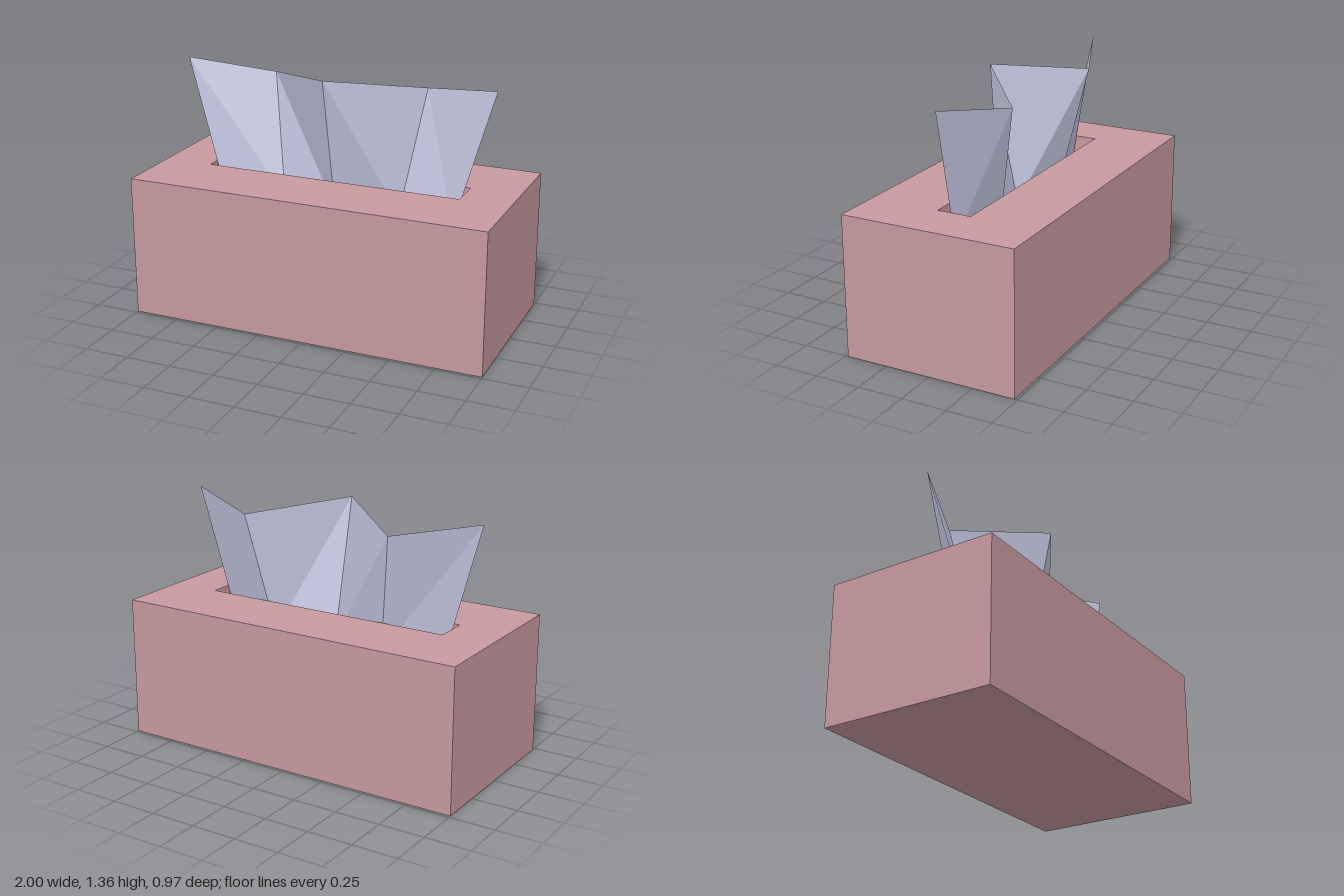
import * as THREE from 'three';

const cardboard = new THREE.MeshStandardMaterial({ color: 0xc6999f, side: THREE.DoubleSide });
cardboard.name = 'dusty pink cardboard';
const paper = new THREE.MeshStandardMaterial({ color: 0xc1c3dd, side: THREE.DoubleSide });
paper.name = 'pale lavender paper';

// Box without its top face, spanning y0..y1
function openBox(w, d, y0, y1) {
  const geo = new THREE.BoxGeometry(w, y1 - y0, d);
  const index = Array.from(geo.index.array);
  index.splice(12, 6); // the +y side
  geo.setIndex(index);
  geo.clearGroups();
  return geo.translate(0, (y0 + y1) / 2, 0);
}

function rectangle(target, x, z0, z1) {
  target.moveTo(-x, -z1);
  target.lineTo(x, -z1);
  target.lineTo(x, -z0);
  target.lineTo(-x, -z0);
  target.closePath();
  return target;
}

// Folded sheet: quads between a top and a bottom zigzag edge
function foldedSheet(top, bottom) {
  const pos = [];
  for (let i = 0; i < top.length - 1; i++) {
    const [a, b, c, d] = [top[i], bottom[i], bottom[i + 1], top[i + 1]];
    pos.push(...a, ...b, ...c, ...a, ...c, ...d);
  }
  const geo = new THREE.BufferGeometry();
  geo.setAttribute('position', new THREE.Float32BufferAttribute(pos, 3));
  geo.computeVertexNormals();
  return geo;
}

export function createModel() {
  const model = new THREE.Group();
  model.name = 'tissueBox';
  const add = (name, geo, mat) => {
    const mesh = new THREE.Mesh(geo, mat);
    mesh.name = name;
    model.add(mesh);
    return mesh;
  };

  const height = 0.78, slotFloor = 0.59;

  // Carton sides and bottom
  add('carton', openBox(2, 0.97, 0, height), cardboard);

  // Top panel with the slot cut out
  const panel = rectangle(new THREE.Shape(), 1, -0.485, 0.485);
  panel.holes.push(rectangle(new THREE.Path(), 0.725, -0.095, 0.095));
  const lid = new THREE.ShapeGeometry(panel).rotateX(-Math.PI / 2).translate(0, height, 0);
  add('topPanel', lid, cardboard);

  // Recess under the slot
  add('slotRecess', openBox(1.45, 0.19, slotFloor, height), cardboard);

  // Tissue, pleated and flaring upwards
  const top = [
    [-0.89, 1.355, 0], [-0.445, 1.275, -0.18], [0, 1.355, 0.195],
    [0.445, 1.275, -0.18], [0.88, 1.345, 0],
  ];
  const bottom = [
    [-0.67, 0.6, 0.03], [-0.34, 0.6, -0.05], [0, 0.6, 0.03],
    [0.34, 0.6, -0.05], [0.67, 0.6, 0.03],
  ];
  add('tissue', foldedSheet(top, bottom), paper);

  return model;
}
